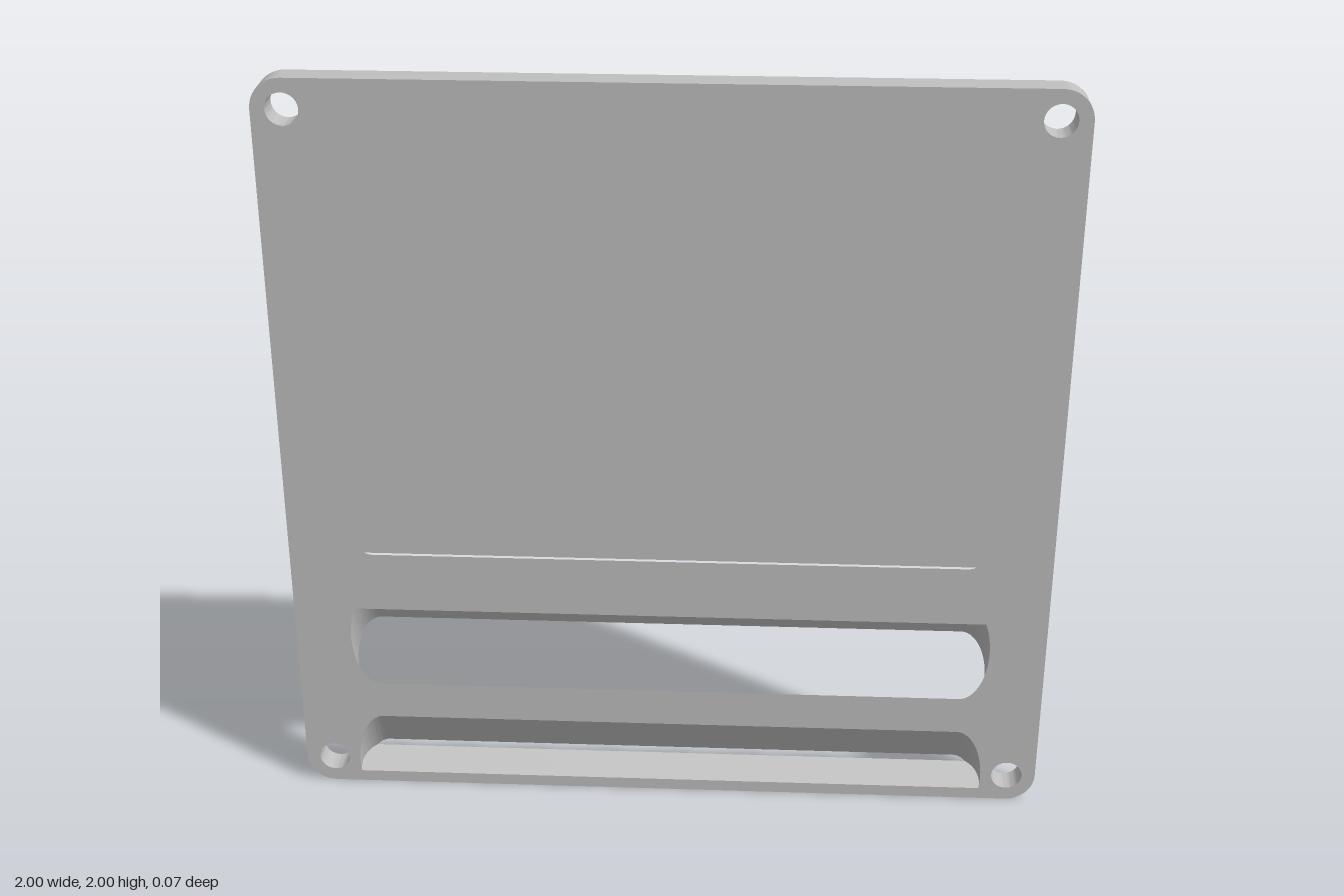
import * as THREE from 'three';
import { toCreasedNormals } from 'three/addons/utils/BufferGeometryUtils.js';

const H = 0.035;                       // half thickness of the plate
const DROP = Math.sqrt(3);             // slots run 60 degrees down toward the back
const RISE = 1 / DROP;                 // slot ends lie square to that run
const R = 0.0725, STRAIGHT = 0.78;     // stadium cross-section of a slot

// mid: slot axis height on the front face; hi / lo: heights there of its end planes
const SLOTS = [
  { name: 'upperSlot', mid: 0.861, hi: 0.722, lo: -9 },
  { name: 'middleSlot', mid: 0.463, hi: 0.551, lo: 0.213 },
  { name: 'lowerSlot', mid: 0.068, hi: 9, lo: 0.032 },
];

// Outline of a slot at depth t behind the front face, counterclockwise
function slotSection({ mid, hi, lo }, t) {
  const c = mid - DROP * t;
  const angle = (y) => Math.asin(THREE.MathUtils.clamp((y - c) / (2 * R), -1, 1));
  const a0 = angle(lo + RISE * t), a1 = angle(hi + RISE * t);
  const right = [], n = 24;
  for (let i = 0; i <= n; i++) {
    const a = a0 + (a1 - a0) * i / n;
    right.push(new THREE.Vector2(STRAIGHT + R * Math.cos(a), c + 2 * R * Math.sin(a)));
  }
  const left = right.map((p) => new THREE.Vector2(-p.x, p.y)).reverse();
  return [...right, ...left];
}

// Depths for the slot loft, including where an end plane meets a wall
function slotDepths({ mid, hi, lo }) {
  const slope = DROP + RISE;
  const depths = [(mid + 2 * R - hi) / slope, (mid - 2 * R - lo) / slope].filter((t) => t > 0 && t < 2 * H);
  for (let i = 0; i <= 10; i++) depths.push(2 * H * i / 10);
  return depths.sort((a, b) => a - b);
}

// Wall through closed loops listed front to back; counterclockwise loops face inward
function loft(loops, depths) {
  const pos = [];
  const put = (k, i) => {
    const p = loops[k][i % loops[k].length];
    pos.push(p.x, p.y, H - depths[k]);
  };
  for (let k = 0; k + 1 < loops.length; k++) {
    for (let i = 0; i < loops[k].length; i++) {
      put(k, i); put(k, i + 1); put(k + 1, i + 1);
      put(k, i); put(k + 1, i + 1); put(k + 1, i);
    }
  }
  const geo = new THREE.BufferGeometry();
  geo.setAttribute('position', new THREE.Float32BufferAttribute(pos, 3));
  return toCreasedNormals(geo, 0.5);
}

function circle(x, y, r, n = 40) {
  return Array.from({ length: n }, (_, i) => {
    const a = i / n * Math.PI * 2;
    return new THREE.Vector2(x + r * Math.cos(a), y + r * Math.sin(a));
  });
}

// Rounded square outline
function plateOutline(r) {
  const pts = [];
  [[1, 1], [-1, 1], [-1, -1], [1, -1]].forEach(([sx, sy], q) => {
    for (let i = 0; i <= 12; i++) {
      const a = (q + i / 12) * Math.PI / 2;
      pts.push(new THREE.Vector2(sx * (1 - r) + r * Math.cos(a), 1 + sy * (1 - r) + r * Math.sin(a)));
    }
  });
  return pts;
}

// Flat face pierced by the given holes
function face(outline, holes, back) {
  const shape = new THREE.Shape(outline);
  shape.holes = holes.map((h) => new THREE.Path(h));
  const geo = new THREE.ShapeGeometry(shape);
  if (back) {
    geo.rotateY(Math.PI);
    geo.scale(1, 1, 1);
  }
  geo.translate(0, 0, back ? -H : H);
  return geo;
}

export function createModel() {
  const group = new THREE.Group();
  group.name = 'slottedPlate';
  const grey = new THREE.MeshStandardMaterial({ color: 0xbfbfbf });
  grey.name = 'grey';
  const add = (name, geo) => {
    const mesh = new THREE.Mesh(geo, grey);
    mesh.name = name;
    group.add(mesh);
  };

  const outline = plateOutline(0.078);
  const screws = [];
  for (const x of [-0.923, 0.923]) for (const y of [0.077, 1.923]) screws.push(circle(x, y, 0.041));

  // Front and back faces (the layout is symmetric in x, so the back is simply turned round)
  add('frontFace', face(outline, [...screws, ...SLOTS.map((s) => slotSection(s, 0))], false));
  add('backFace', face(outline, [...screws, ...SLOTS.map((s) => slotSection(s, 2 * H))], true));

  // Outer rim and screw hole walls
  const ends = [0, 2 * H];
  const rim = [...outline].reverse();
  add('rim', loft([rim, rim], ends));
  screws.forEach((s) => add('screwHole', loft([s, s], ends)));

  // Slanted slot walls
  for (const slot of SLOTS) {
    const depths = slotDepths(slot);
    add(slot.name, loft(depths.map((t) => slotSection(slot, t)), depths));
  }
  return group;
}
